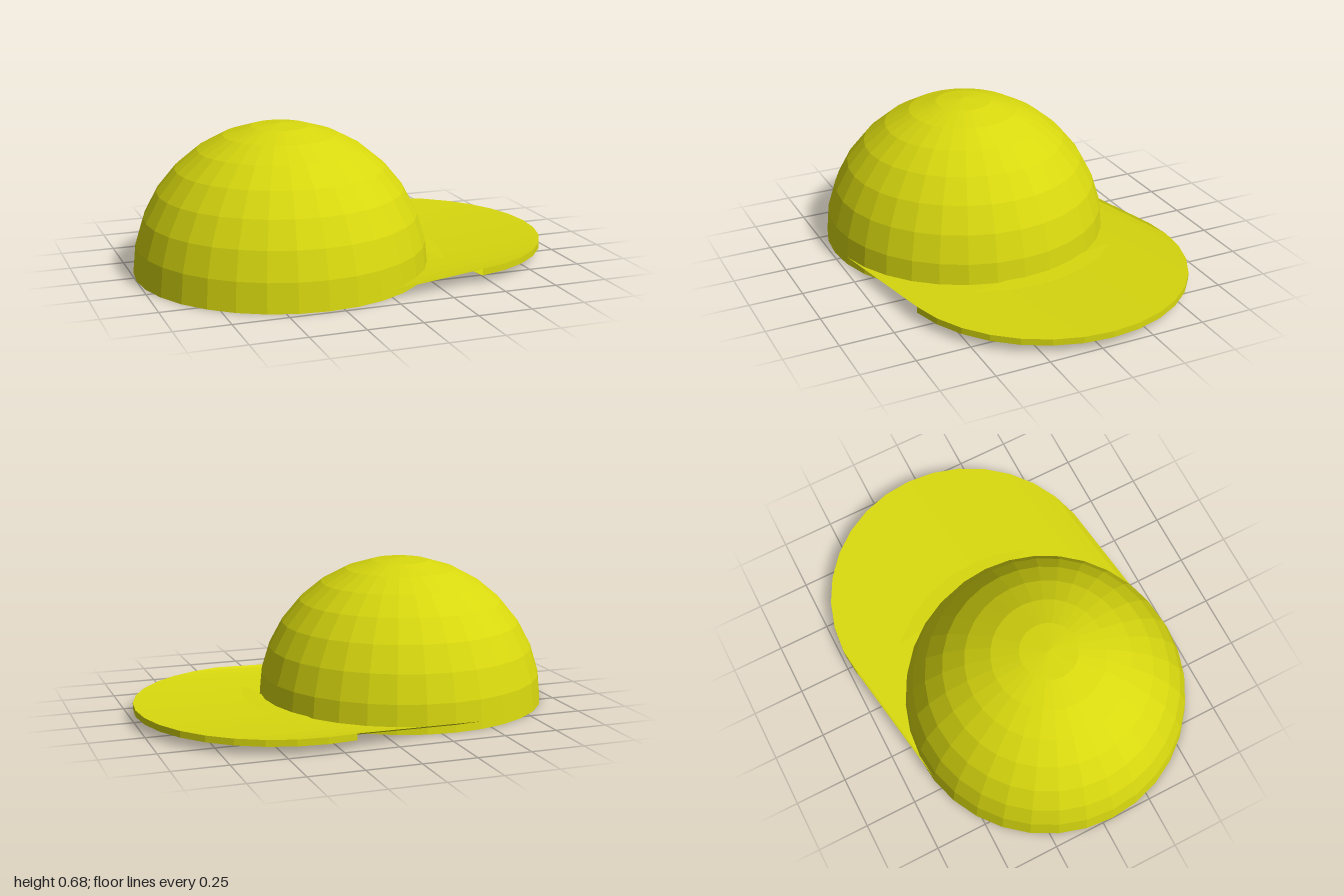
import * as THREE from 'three';

const R = 0.684, CX = 0.316, CZ = 0.05;   // dome at (-CX, CZ), brim disc at (CX, -CZ)
const SEGMENTS = 32, STEP = (2 * Math.PI) / SEGMENTS;
const START = -9 * STEP;                  // the brim spans half a turn from here

// One half-circle row of points at a given centre, radius and height
function arc(cx, cz, radius, y) {
  const row = [];
  for (let i = 0; i <= SEGMENTS / 2; i++) {
    const a = START + i * STEP;
    row.push([cx + radius * Math.cos(a), y, cz + radius * Math.sin(a)]);
  }
  return row;
}

// Strip of faces between two rows
function strip(inner, outer) {
  const pos = [];
  for (let i = 0; i < inner.length - 1; i++) {
    const a = inner[i], b = outer[i], c = outer[i + 1], d = inner[i + 1];
    pos.push(...a, ...c, ...b, ...a, ...d, ...c);
  }
  const g = new THREE.BufferGeometry();
  g.setAttribute('position', new THREE.Float32BufferAttribute(pos, 3));
  g.computeVertexNormals();
  return g;
}

export function createModel() {
  const model = new THREE.Group();
  model.name = 'cap';
  const yellow = new THREE.MeshStandardMaterial({ color: 0xd8d80f, side: THREE.DoubleSide, flatShading: true });
  yellow.name = 'yellow';

  const add = (name, geometry) => {
    const mesh = new THREE.Mesh(geometry, yellow);
    mesh.name = name;
    model.add(mesh);
    return mesh;
  };

  // Hollow crown
  const dome = new THREE.SphereGeometry(R, SEGMENTS, 8, 0, Math.PI * 2, 0, Math.PI / 2);
  add('crown', dome).position.set(-CX, 0, CZ);

  // Brim: sheet rising from the crown to the rim, a skirt round the rim, and its underside
  const root = arc(-CX, CZ, R - 0.003, 0.035);
  const top = arc(CX, -CZ, R, 0.07);
  const bottom = arc(CX, -CZ, R, 0.04);
  add('brimTop', strip(root, top));
  add('brimEdge', strip(top, bottom));
  const under = new THREE.CircleGeometry(R, SEGMENTS / 2, START, Math.PI).rotateX(Math.PI / 2);
  add('brimUnderside', under).position.set(CX, 0.04, -CZ);

  return model;
}
